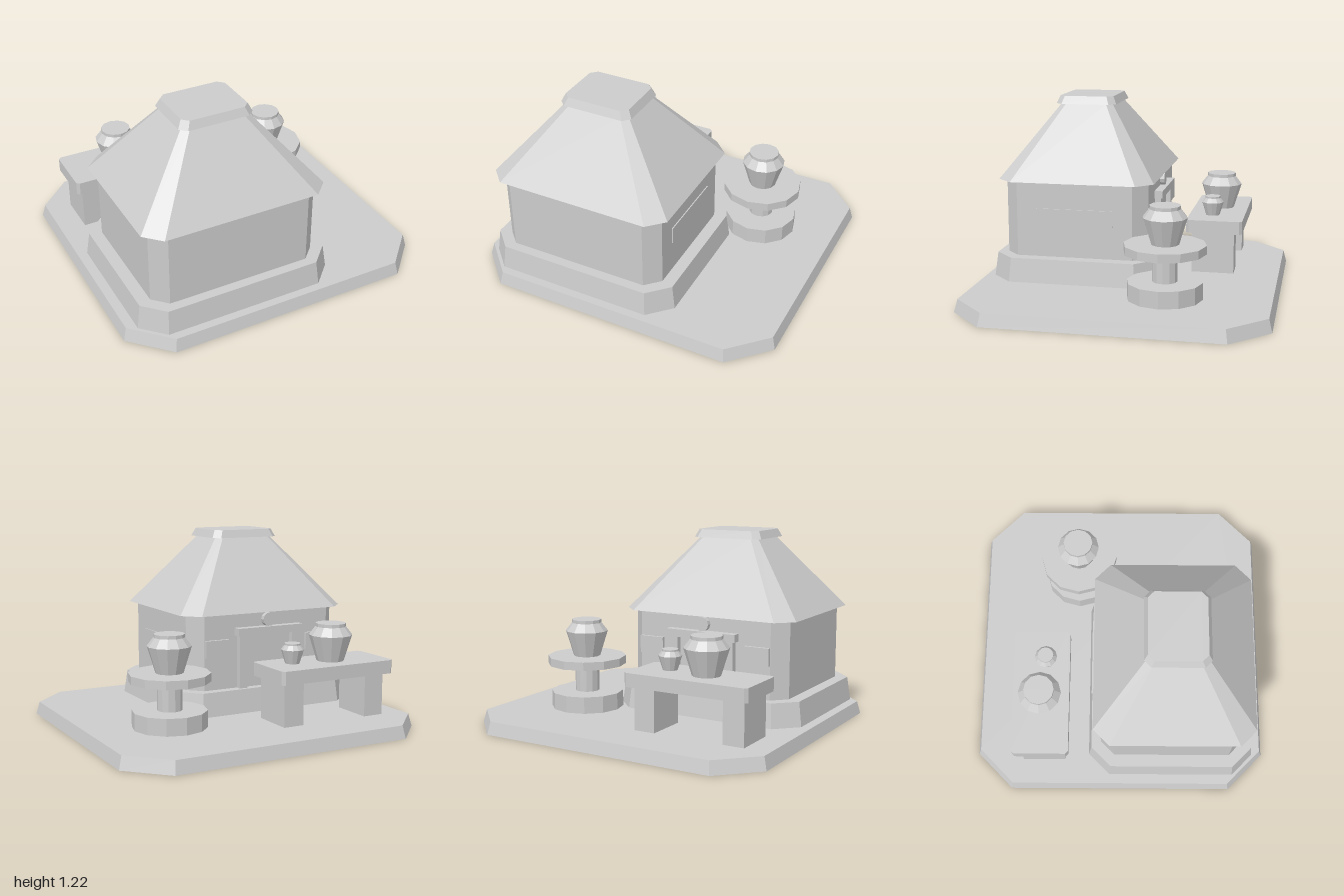
import * as THREE from 'three';

// Double sided because the cut blocks are open underneath
const stone = new THREE.MeshStandardMaterial({ color: 0xcccccc, flatShading: true, side: THREE.DoubleSide });
stone.name = 'plain stone grey';

function add(parent, name, geometry, x = 0, y = 0, z = 0) {
  const mesh = new THREE.Mesh(geometry, stone);
  mesh.name = name;
  mesh.position.set(x, y, z);
  parent.add(mesh);
  return mesh;
}

// Box given by its limits on each axis
function block(parent, name, [x0, x1], [y0, y1], [z0, z1]) {
  return add(parent, name, new THREE.BoxGeometry(x1 - x0, y1 - y0, z1 - z0),
    (x0 + x1) / 2, (y0 + y1) / 2, (z0 + z1) / 2);
}

// Tapered block with cut corners; each ring is [half width, half depth, corner cut, height]
function cutBlock(bottom, top, closed = false) {
  const ring = ([w, d, c, y]) => [
    [w, d - c], [w, c - d], [w - c, -d], [c - w, -d],
    [-w, c - d], [-w, d - c], [c - w, d], [w - c, d],
  ].map(([x, z]) => [x, y, z]);
  const positions = [...ring(bottom), ...ring(top)].flat();
  const index = [];
  for (let i = 0; i < 8; i++) {
    const j = (i + 1) % 8;
    index.push(i, j, j + 8, i, j + 8, i + 8);
    if (i > 0 && i < 7) {
      index.push(8, i + 8, j + 8);
      if (closed) index.push(0, j, i);
    }
  }
  const g = new THREE.BufferGeometry();
  g.setAttribute('position', new THREE.Float32BufferAttribute(positions, 3));
  g.setIndex(index);
  const flat = g.toNonIndexed();
  flat.computeVertexNormals();
  return flat;
}

// Faceted jar with a lid, its foot at y
function addJar(parent, name, x, y, z, r, h) {
  const jar = new THREE.Group();
  jar.name = name;
  jar.position.set(x, y, z);
  const profile = [[0, 0], [0.63, 0], [1, 0.69], [0.69, 0.92], [0, 0.92]]
    .map(([px, py]) => new THREE.Vector2(px * r, py * h));
  add(jar, 'jarBody', new THREE.LatheGeometry(profile, 12));
  add(jar, 'jarLid', new THREE.CylinderGeometry(r * 0.7, r * 0.7, h * 0.1, 12), 0, h * 0.95, 0);
  parent.add(jar);
}

export function createModel() {
  const model = new THREE.Group();
  model.name = 'hutWithYard';

  // Ground slab
  add(model, 'groundSlab', cutBlock([1, 0.943, 0.228, 0], [0.98, 0.923, 0.22, 0.08]));

  // Hut: plinth, walls, hipped roof and cap share one centre
  const hut = new THREE.Group();
  hut.name = 'hut';
  hut.position.set(-0.281, 0, 0.333);
  model.add(hut);
  add(hut, 'plinth', cutBlock([0.638, 0.538, 0.135, 0.08], [0.617, 0.518, 0.125, 0.231]));
  add(hut, 'walls', cutBlock([0.54, 0.457, 0.087, 0.231], [0.54, 0.457, 0.087, 0.712]));
  add(hut, 'roof', cutBlock([0.59, 0.498, 0.1, 0.71], [0.205, 0.168, 0.036, 1.165]));
  add(hut, 'roofCap', cutBlock([0.236, 0.197, 0.042, 1.165], [0.212, 0.175, 0.038, 1.215], true));

  // Side wall panel
  block(hut, 'sidePanel', [0.535, 0.547], [0.435, 0.54], [-0.245, 0.245]);

  // Back wall: door with frame, round boss and two windows
  const wall = -0.455;
  block(hut, 'door', [-0.17, 0.17], [0.231, 0.57], [wall - 0.008, wall]);
  block(hut, 'doorLintel', [-0.238, 0.238], [0.57, 0.618], [wall - 0.055, wall]);
  for (const s of [-1, 1]) {
    const span = (a, b) => (s > 0 ? [a, b] : [-b, -a]);
    block(hut, 'doorPost', span(0.165, 0.22), [0.231, 0.57], [wall - 0.04, wall]);
    block(hut, 'window', span(0.285, 0.45), [0.44, 0.55], [wall - 0.022, wall]);
  }
  const boss = add(hut, 'roundBoss', new THREE.CylinderGeometry(0.045, 0.045, 0.035, 12),
    0, 0.66, wall - 0.015);
  boss.rotation.x = Math.PI / 2;

  // Table with two slab legs
  const table = new THREE.Group();
  table.name = 'table';
  model.add(table);
  add(table, 'tableTop', cutBlock([0.403, 0.18, 0.018, 0.35], [0.403, 0.18, 0.018, 0.434], true),
    -0.459, 0, -0.507);
  for (const x of [-0.822, -0.235]) {
    block(table, 'tableLeg', [x, x + 0.135], [0.08, 0.35], [-0.634, -0.36]);
  }
  addJar(table, 'largeJar', -0.511, 0.434, -0.505, 0.135, 0.235);
  addJar(table, 'smallJar', -0.251, 0.434, -0.477, 0.071, 0.125);

  // Round pedestal
  const pedestal = new THREE.Group();
  pedestal.name = 'pedestal';
  pedestal.position.set(0.49, 0, -0.283);
  model.add(pedestal);
  const drums = [
    ['pedestalBase', 0.23, 0.08, 0.185],
    ['pedestalColumn', 0.077, 0.185, 0.36],
    ['pedestalTop', 0.25, 0.36, 0.412],
  ];
  for (const [name, r, y0, y1] of drums) {
    add(pedestal, name, new THREE.CylinderGeometry(r, r, y1 - y0, 12), 0, (y0 + y1) / 2, 0);
  }
  addJar(pedestal, 'pedestalJar', 0, 0.412, 0, 0.135, 0.235);

  return model;
}
